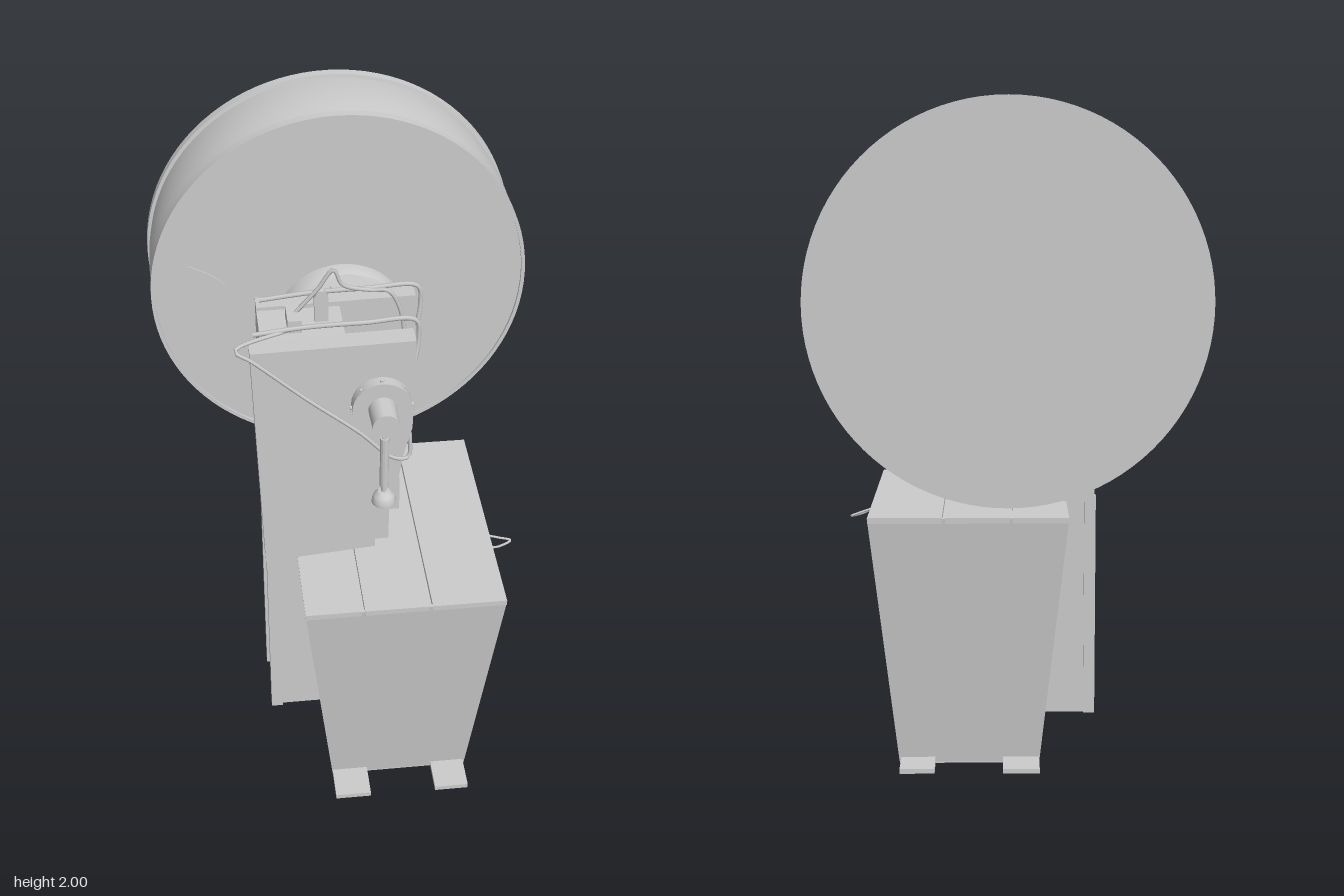
import * as THREE from 'three';
import { toCreasedNormals } from 'three/addons/utils/BufferGeometryUtils.js';

const V = (p) => new THREE.Vector3(...p);
const lerp = THREE.MathUtils.lerp;

export function createModel() {
  const model = new THREE.Group();
  const grey = new THREE.MeshStandardMaterial({ color: 0xcccccc, side: THREE.DoubleSide });

  const add = (name, geo, parent = model) => {
    const mesh = new THREE.Mesh(geo, grey);
    mesh.name = name;
    parent.add(mesh);
    return mesh;
  };
  // box given by its extents on each axis
  const box = (name, [x0, x1], [y0, y1], [z0, z1]) => {
    const m = add(name, new THREE.BoxGeometry(x1 - x0, y1 - y0, z1 - z0));
    m.position.set((x0 + x1) / 2, (y0 + y1) / 2, (z0 + z1) / 2);
    return m;
  };
  // turned part: profile of [radius, along axis], axis is 'y' or 'z'
  const turned = (name, profile, [x, y, z], axis = 'z', segs = 32) => {
    const pts = profile.map((p) => new THREE.Vector2(...p));
    const geo = new THREE.LatheGeometry(pts, segs);
    if (axis === 'z') geo.rotateX(Math.PI / 2);
    const m = add(name, toCreasedNormals(geo, 0.5));
    m.position.set(x, y, z);
    return m;
  };
  const rod = (name, r, a, b, pos, axis, segs) =>
    turned(name, [[0, a], [r, a], [r, b], [0, b]], pos, axis, segs);
  const shapeOf = (pts) => new THREE.Shape(pts.map((p) => new THREE.Vector2(...p)));
  const extrude = (shape, depth) =>
    new THREE.ExtrudeGeometry(shape, { depth, bevelEnabled: false, curveSegments: 8 });
  const plate = (name, pts, z0, z1) => {
    const m = add(name, extrude(shapeOf(pts), z1 - z0));
    m.position.z = z0;
    return m;
  };
  const cable = (name, pts, r = 0.005) =>
    add(name, new THREE.TubeGeometry(new THREE.CatmullRomCurve3(pts.map(V), false, 'centripetal'),
      pts.length * 8, r, 6));

  // ---- tapered stand ----
  const H = 0.78, T = 0.012;
  const xAt = (s, y) => (s > 0 ? lerp(0.325, 0.41, y / H) : lerp(-0.1, -0.185, y / H));
  const zAt = (s, y) => (s > 0 ? lerp(0.42, 0.51, y / H) : lerp(-0.18, -0.27, y / H));
  const bend = (geo, rule) => {
    const p = geo.attributes.position;
    for (let i = 0; i < p.count; i++) p.setXYZ(i, ...rule(p.getX(i), p.getY(i), p.getZ(i)));
    geo.computeVertexNormals();
    return geo;
  };
  for (const s of [1, -1]) {
    // side panel with a round-topped window, leaned to the taper
    const side = shapeOf([[-0.18, 0.005], [0.42, 0.005], [0.51, H], [-0.27, H]]);
    const w = new THREE.Path();
    w.moveTo(-0.02, 0.07);
    w.lineTo(-0.03, 0.64);
    w.quadraticCurveTo(-0.03, 0.68, 0.01, 0.68);
    w.lineTo(0.24, 0.68);
    w.quadraticCurveTo(0.29, 0.68, 0.29, 0.63);
    w.lineTo(0.283, 0.07);
    side.holes.push(w);
    add(s > 0 ? 'standLeftPanel' : 'standRightPanel', bend(extrude(side, T),
      (u, y, d) => [xAt(s, y) - d + (s > 0 ? 0 : T), y, u]));
    // end panel
    const end = shapeOf([[-0.1, 0.005], [0.325, 0.005], [0.41, H], [-0.185, H]]);
    add(s > 0 ? 'standFrontPanel' : 'standBackPanel', bend(extrude(end, T),
      (x, y, d) => [x, y, zAt(s, y) + d - (s > 0 ? T : 0)]));
    // feet
    for (const x of [[-0.1, 0.01], [0.215, 0.32]]) {
      box('foot', x, [0.005, 0.02], s > 0 ? [0.4, 0.53] : [-0.29, -0.16]);
    }
  }
  box('standFloor', [-0.1, 0.325], [0, 0.015], [-0.18, 0.42]);
  box('standCeiling', [-0.17, 0.395], [0.75, 0.765], [-0.255, 0.495]);
  for (const x of [[-0.184, -0.02], [-0.01, 0.18], [0.19, 0.409]]) {
    box('standTopPlank', x, [0.765, H + 0.002], [-0.27, 0.51]);
  }

  // ---- C-shaped press frame ----
  plate('frontFramePlate', [[-0.28, 0.78], [0.05, 0.81], [0.045, 1.02], [0.07, 1.06], [0.11, 1.02],
    [0.13, 1.15], [0.155, 1.25], [0.16, 1.55], [-0.305, 1.54]], 0.19, 0.255);
  plate('backFramePlate', [[-0.27, 0.78], [0.15, 0.82], [0.15, 1.0], [0.12, 1.04], [0.11, 1.12],
    [0.14, 1.25], [0.19, 1.36], [0.19, 1.55], [-0.27, 1.54]], -0.03, 0.025);
  box('frameHead', [-0.27, -0.03], [1.25, 1.53], [0.02, 0.195]);
  box('frameWeb', [-0.255, -0.06], [0.78, 1.26], [0.02, 0.195]);
  box('frameTail', [-0.262, -0.07], [0.11, 0.8], [-0.02, 0.195]);
  for (const z of [[-0.03, 0.0], [0.175, 0.205]]) {
    box('tailRail', [-0.275, -0.24], [0.11, 0.8], z);
  }
  box('bolster', [-0.06, 0.13], [0.9, 1.02], [0.02, 0.195]);
  box('bedBlock', [-0.06, 0.1], [0.78, 0.9], [0.025, 0.19]);
  box('topBracket', [-0.19, -0.15], [1.53, 1.57], [0.06, 0.15]);
  plate('topLug', [[-0.11, 1.52], [-0.07, 1.52], [-0.07, 1.61], [-0.08, 1.63], [-0.1, 1.63],
    [-0.11, 1.61]], 0.085, 0.1);

  // ---- crank, ram and front shaft ----
  const cx = 0.06, cy = 1.36;
  turned('crank', [[0, 0], [0.055, 0], [0.055, 0.02], [0.072, 0.02], [0.072, 0.08], [0.06, 0.08],
    [0.06, 0.1], [0, 0.1]], [cx, cy, 0.03]);
  rod('crankShaft', 0.035, -0.05, 0.2, [cx, cy, 0.03], 'z');
  turned('ram', [[0, 1.1], [0.055, 1.1], [0.055, 1.12], [0.025, 1.12], [0.025, 1.2], [0.035, 1.2],
    [0.035, 1.22], [0.028, 1.22], [0.028, 1.32], [0, 1.32]], [cx, 0, 0.1], 'y', 20);
  turned('frontCollar', [[0, 0], [0.075, 0], [0.075, 0.02], [0.085, 0.02], [0.085, 0.055],
    [0.04, 0.055], [0.038, 0.14], [0, 0.14]], [cx, cy, 0.25]);
  for (let i = 0; i < 8; i++) {
    const a = (i / 8) * Math.PI * 2;
    const bolt = rod('collarBolt', 0.006, 0, 0.09, [cx, cy, 0.29], 'y', 8);
    bolt.rotation.z = a;
  }
  turned('hangingLever', [[0, 1.11], [0.008, 1.11], [0.008, 1.13], [0.013, 1.13], [0.013, 1.3],
    [0.008, 1.3], [0.008, 1.34], [0, 1.34]], [cx, 0, 0.36], 'y', 12);
  turned('leverGrip', [[0, 1.07], [0.035, 1.07], [0.035, 1.08], [0.03, 1.095], [0.018, 1.108],
    [0, 1.112]], [cx, 0, 0.36], 'y', 16);

  // ---- rear clutch cylinders ----
  rod('upperCylinder', 0.055, 1.37, 1.53, [0.01, 0, -0.085], 'y');
  rod('lowerCylinder', 0.047, 1.14, 1.31, [0.01, 0, -0.085], 'y');
  rod('cylinderStem', 0.033, 1.3, 1.38, [0.01, 0, -0.085], 'y', 16);
  rod('cylinderRod', 0.015, 1.05, 1.15, [0.01, 0, -0.085], 'y', 12);
  rod('driveShaft', 0.028, -0.17, 0.0, [0.01, 1.3, 0], 'z', 20);

  // ---- flywheel and hub ----
  const wheel = turned('flywheel', [[0, -0.145], [0.568, -0.145], [0.568, -0.116], [0.558, -0.114],
    [0.564, -0.06], [0.566, 0], [0.564, 0.06], [0.558, 0.114], [0.568, 0.116], [0.568, 0.145],
    [0.557, 0.145], [0.557, 0.137], [0, 0.137]], [-0.003, 1.432, -0.38], 'z', 96);
  wheel.rotation.y = 0.012;
  const hub = turned('flywheelHub', [[0, -0.04], [0.2, -0.04], [0.203, 0.03], [0.195, 0.05],
    [0.15, 0.072], [0.055, 0.078], [0.055, 0.11], [0, 0.11]], [0.003, 1.3, -0.243], 'z', 48);
  hub.rotation.y = 0.06;
  // leaf-shaped mark on the wheel face
  const leaf = new THREE.Shape();
  leaf.moveTo(-0.455, 1.53);
  leaf.quadraticCurveTo(-0.46, 1.44, -0.33, 1.435);
  leaf.quadraticCurveTo(-0.36, 1.49, -0.455, 1.53);
  add('wheelMark', extrude(leaf, 0.012)).position.z = -0.246;

  // ---- cables ----
  cable('frontCable', [[-0.16, 1.55, 0.15], [-0.345, 1.55, 0.25], [-0.3, 1.52, 0.262],
    [-0.15, 1.38, 0.262], [0, 1.25, 0.262], [0.1, 1.15, 0.262], [0.145, 1.14, 0.25],
    [0.15, 1.22, 0.24]], 0.006);
  for (const [z, x0, x1] of [[0.175, -0.29, 0.17], [0.0, -0.26, 0.2]]) {
    cable('topCable', [[x0, 1.55, z], [x0 + 0.15, 1.565, z], [x1 - 0.15, 1.575, z + 0.01],
      [x1, 1.56, z - 0.01], [x1 + 0.01, 1.5, z - 0.01], [x1, 1.43, z]], 0.007);
  }
  cable('archedCable', [[-0.17, 1.56, 0.1], [-0.1, 1.64, 0.1], [-0.055, 1.7, 0.1],
    [-0.03, 1.65, 0.1], [0.05, 1.62, 0.09], [0.1, 1.62, 0.1], [0.13, 1.57, 0.1],
    [0.15, 1.46, 0.1], [0.16, 1.3, 0.1]], 0.006);
  cable('sideCable', [[0.4, 0.74, 0.22], [0.42, 0.72, 0.2], [0.45, 0.705, 0.18],
    [0.49, 0.7, 0.15], [0.45, 0.715, 0.15], [0.405, 0.73, 0.15]], 0.004);

  return model;
}
